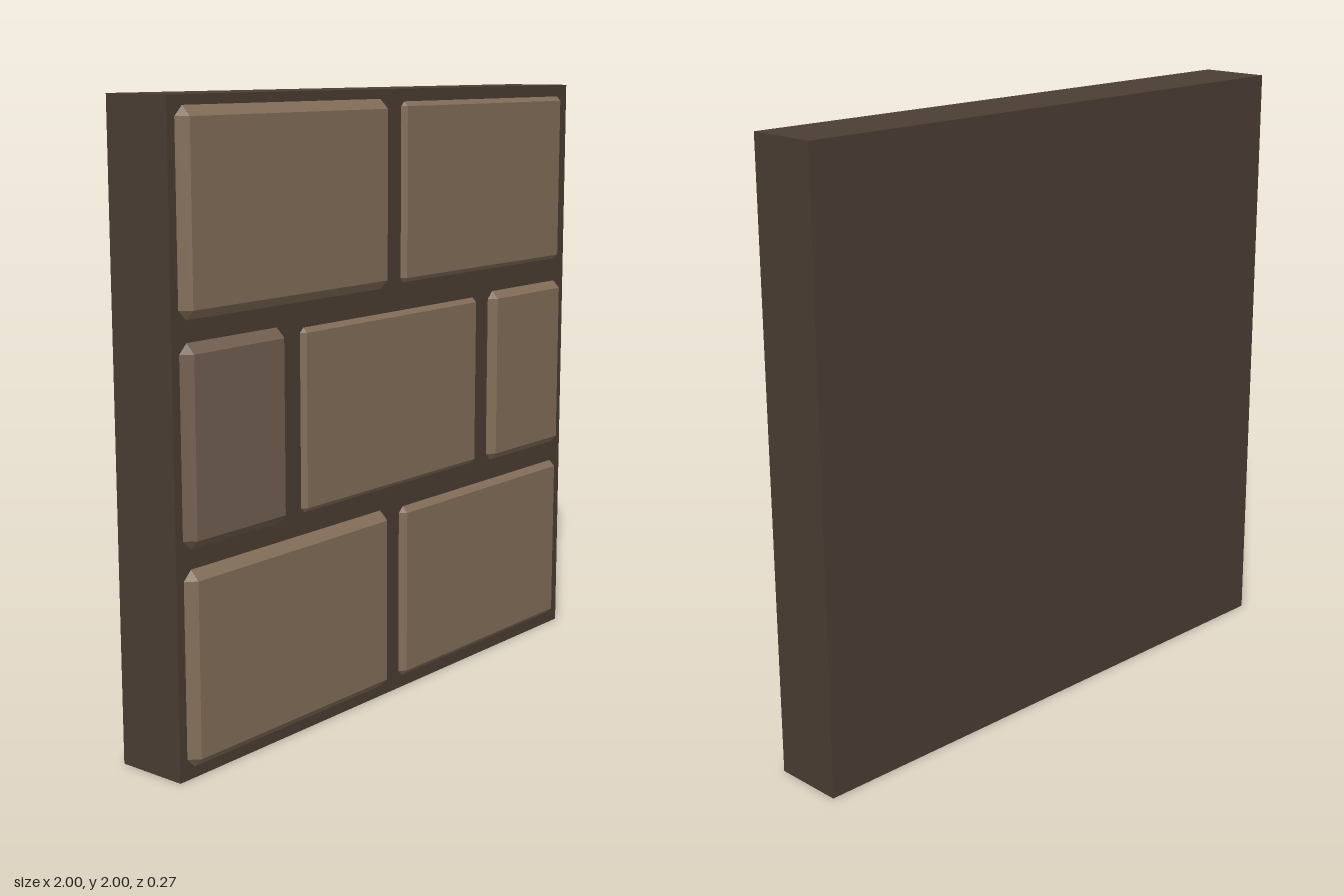
import * as THREE from 'three';
import { ConvexGeometry } from 'three/addons/geometries/ConvexGeometry.js';

const FRONT = 0.105; // front plane of the mortar slab
const BACK = -0.135;

// Raised brick: base outline with cut corners, chamfered up to a flat rectangular face.
function brickGeometry(x0, x1, y0, y1, bevel) {
  const cx = (x0 + x1) / 2, cy = (y0 + y1) / 2;
  const w = (x1 - x0) / 2, h = (y1 - y0) / 2;
  const points = [];
  for (const sx of [-1, 1]) {
    for (const sy of [-1, 1]) {
      const ix = cx + sx * (w - bevel), iy = cy + sy * (h - bevel);
      points.push(
        new THREE.Vector3(cx + sx * w, iy, FRONT),
        new THREE.Vector3(ix, cy + sy * h, FRONT),
        new THREE.Vector3(ix, iy, FRONT + bevel)
      );
    }
  }
  return new ConvexGeometry(points);
}

export function createModel() {
  const group = new THREE.Group();
  group.name = 'brickWallPanel';

  const mortar = new THREE.MeshStandardMaterial({ color: 0x4b3d33, flatShading: true });
  const brick = new THREE.MeshStandardMaterial({ color: 0x836e59, flatShading: true });
  const darkBrick = new THREE.MeshStandardMaterial({ color: 0x735f50, flatShading: true });

  // Mortar slab
  const slab = new THREE.Mesh(new THREE.BoxGeometry(2, 2, FRONT - BACK), mortar);
  slab.name = 'mortarSlab';
  slab.position.set(0, 1, (FRONT + BACK) / 2);
  group.add(slab);

  // Bricks: name, x range, y range, bevel, material
  const bricks = [
    ['topRightBrick', -0.97, -0.035, 1.37, 1.97, 0.03, brick],
    ['topLeftBrick', 0.04, 0.955, 1.38, 1.96, 0.015, brick],
    ['middleRightBrick', -0.97, -0.53, 0.70, 1.305, 0.03, darkBrick],
    ['middleCentreBrick', -0.455, 0.455, 0.71, 1.29, 0.015, brick],
    ['middleLeftBrick', 0.53, 0.965, 0.70, 1.30, 0.025, brick],
    ['bottomRightBrick', -0.97, -0.035, 0.035, 0.64, 0.03, brick],
    ['bottomLeftBrick', 0.035, 0.96, 0.04, 0.63, 0.02, brick],
  ];
  for (const [name, x0, x1, y0, y1, bevel, material] of bricks) {
    const mesh = new THREE.Mesh(brickGeometry(x0, x1, y0, y1, bevel), material);
    mesh.name = name;
    group.add(mesh);
  }
  return group;
}
